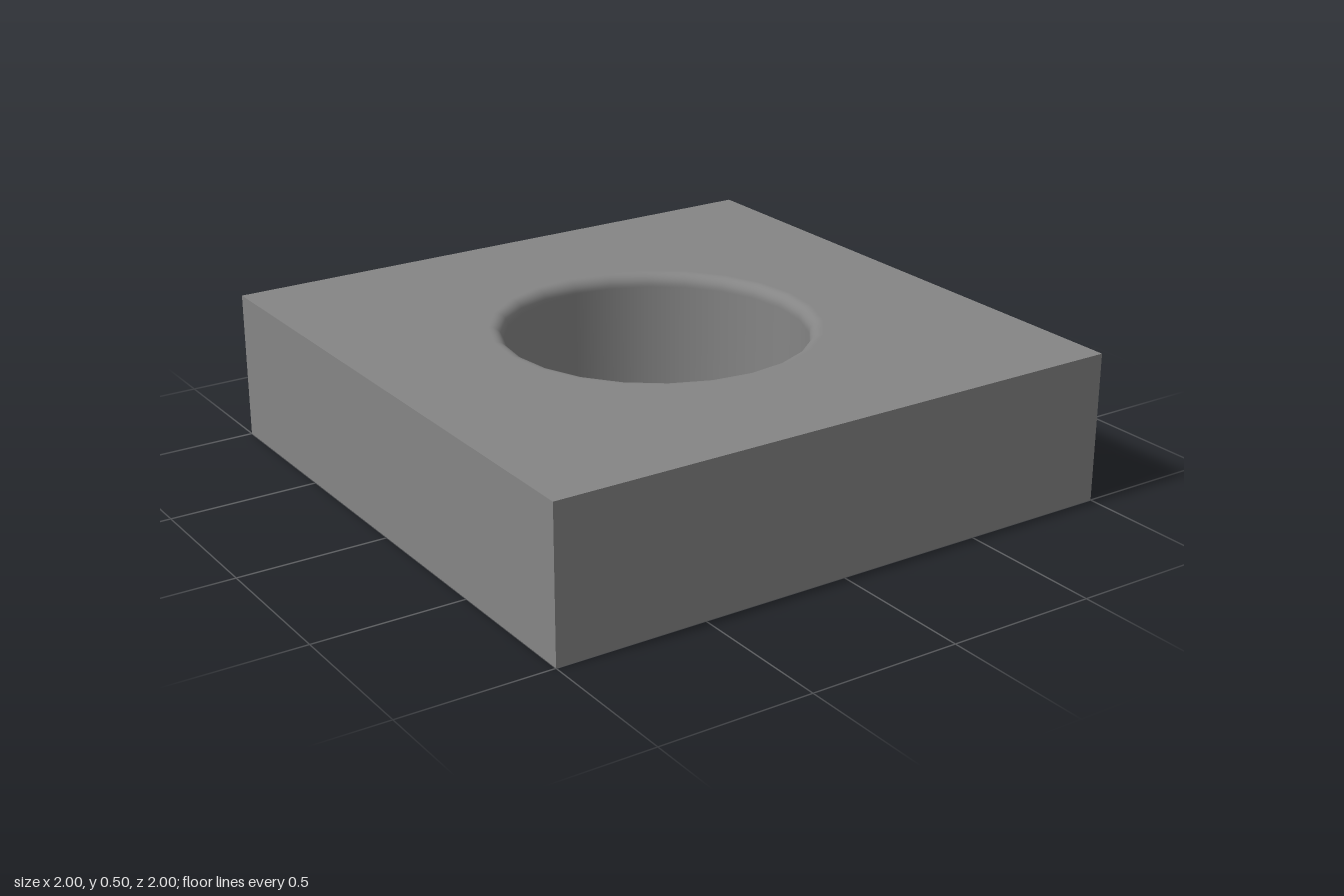
import * as THREE from 'three';

const HALF = 1;        // half the slab width
const HEIGHT = 0.5;    // slab thickness
const RADIUS = 0.497;  // bore radius
const FILLET = 0.04;   // rounding of the bore rims
const LIP = 0.005;     // narrow flat ring that keeps the rim shading smooth
const SIDES = 24;
const COLOR = 0x858585;

export function createModel() {
  const group = new THREE.Group();
  group.name = 'boredSlab';
  const smooth = new THREE.MeshStandardMaterial({ color: COLOR });
  const flat = new THREE.MeshStandardMaterial({ color: COLOR, flatShading: true });

  const add = (name, geometry, material) => {
    const mesh = new THREE.Mesh(geometry, material);
    mesh.name = name;
    group.add(mesh);
    return mesh;
  };

  // Square faces with a round opening
  const square = new THREE.Shape([
    new THREE.Vector2(-HALF, -HALF), new THREE.Vector2(HALF, -HALF),
    new THREE.Vector2(HALF, HALF), new THREE.Vector2(-HALF, HALF),
  ]);
  const opening = new THREE.Path();
  opening.absarc(0, 0, RADIUS + FILLET + LIP, 0, Math.PI * 2, true);
  square.holes.push(opening);
  const face = new THREE.ShapeGeometry(square, SIDES / 2);
  const top = add('topFace', face, smooth);
  top.rotation.x = -Math.PI / 2;
  top.position.y = HEIGHT;
  add('bottomFace', face, smooth).rotation.x = Math.PI / 2;

  // Four outer walls
  const walls = new THREE.CylinderGeometry(HALF * Math.SQRT2, HALF * Math.SQRT2, HEIGHT, 4, 1, true);
  walls.rotateY(Math.PI / 4);
  walls.translate(0, HEIGHT / 2, 0);
  add('outerWalls', walls, flat);

  // Bore wall with rounded rims, profiled from top to bottom so it faces inwards
  const steps = 8;
  const upper = [new THREE.Vector2(RADIUS + FILLET + LIP, HEIGHT)];
  for (let i = 0; i <= steps; i++) {
    const a = (i / steps) * Math.PI / 2;
    upper.push(new THREE.Vector2(
      RADIUS + FILLET * (1 - Math.sin(a)),
      HEIGHT - FILLET * (1 - Math.cos(a)),
    ));
  }
  upper.push(new THREE.Vector2(RADIUS, HEIGHT - FILLET - LIP));
  const lower = upper.map((p) => new THREE.Vector2(p.x, HEIGHT - p.y)).reverse();
  add('bore', new THREE.LatheGeometry([...upper, ...lower], SIDES), smooth);

  return group;
}
